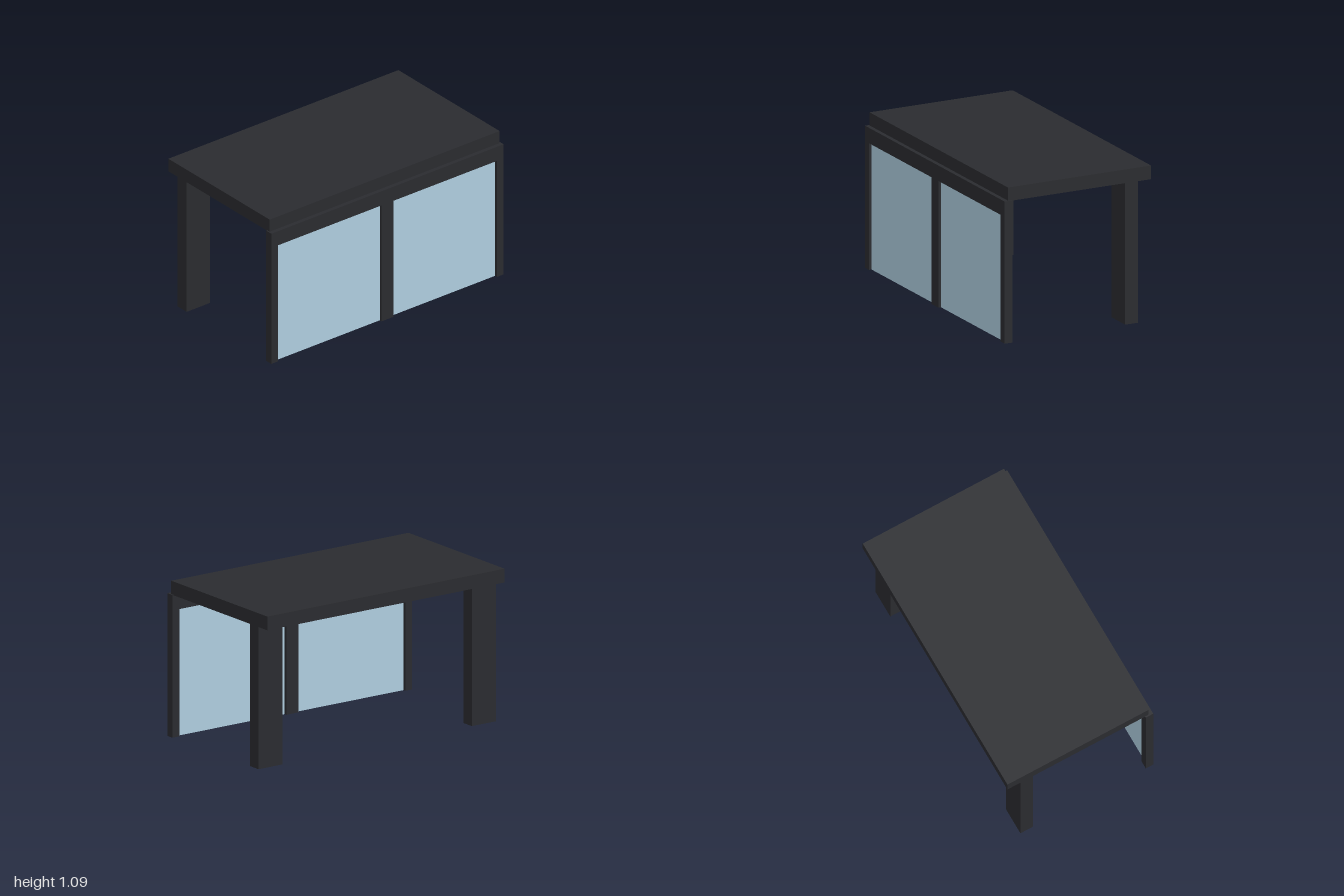
import * as THREE from 'three';

const dark = new THREE.MeshStandardMaterial({ color: 0x2a2b2f });
const glass = new THREE.MeshStandardMaterial({ color: 0xaecddf });

// Box given by its extents along x, y and z
function block(name, [x0, x1], [y0, y1], [z0, z1], material = dark) {
  const mesh = new THREE.Mesh(new THREE.BoxGeometry(x1 - x0, y1 - y0, z1 - z0), material);
  mesh.name = name;
  mesh.position.set((x0 + x1) / 2, (y0 + y1) / 2, (z0 + z1) / 2);
  return mesh;
}

export function createModel() {
  const group = new THREE.Group();
  group.name = 'carport';
  const frameZ = [0.502, 0.56];

  // Flat roof, set slightly back from the front frame
  group.add(block('roof', [-0.99, 0.99], [0.994, 1.09], [-0.56, 0.53]));

  // Front frame: header beam and centre post
  const frame = new THREE.Group();
  frame.name = 'frontFrame';
  frame.add(block('header', [-1, 1], [0.89, 0.998], frameZ));
  frame.add(block('centrePost', [-0.05, 0.05], [0, 0.89], frameZ));
  group.add(frame);

  // Mirrored parts: side posts, glass panes and rear columns
  for (const [side, s] of [['left', 1], ['right', -1]]) {
    const span = (a, b) => (s > 0 ? [a, b] : [-b, -a]);
    frame.add(block(side + 'Post', span(0.943, 1), [0, 0.89], frameZ));
    group.add(block(side + 'GlassPane', span(0.05, 0.943), [0, 0.89], [0.522, 0.54], glass));
    group.add(block(side + 'RearColumn', span(0.79, 0.99), [0, 0.994], [-0.46, -0.363]));
  }
  return group;
}
